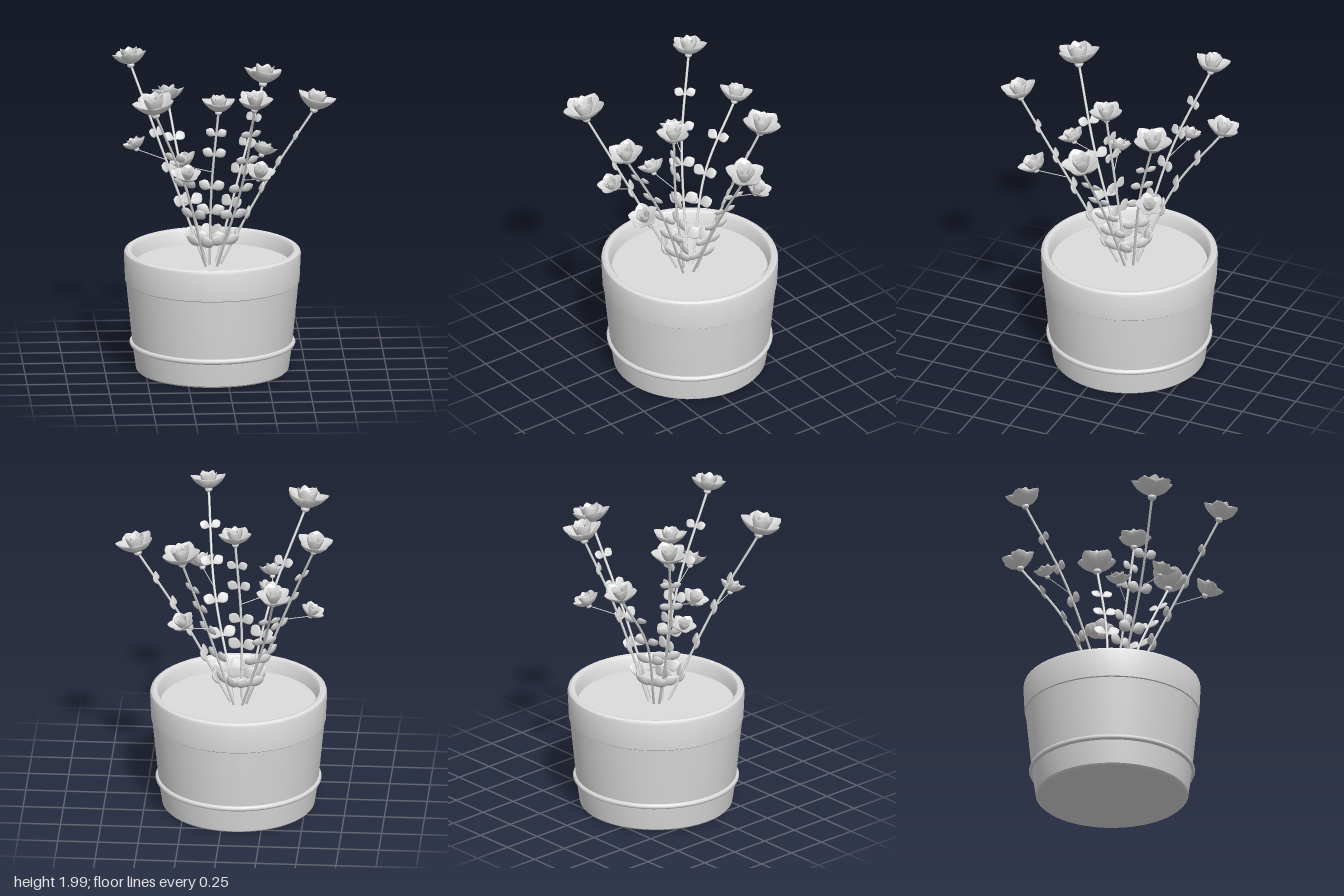
import * as THREE from 'three';
import { toCreasedNormals } from 'three/addons/utils/BufferGeometryUtils.js';

const grey = new THREE.MeshStandardMaterial({ color: 0xdcdcdc });
grey.name = 'plain light grey';

const V = (x, y, z) => new THREE.Vector3(x, y, z);
const UP = V(0, 1, 0);
const CX = -0.08, CZ = -0.077, SOIL_Y = 0.68;

function add(parent, name, geometry) {
  const mesh = new THREE.Mesh(geometry, grey);
  mesh.name = name;
  parent.add(mesh);
  return mesh;
}

// Puffy pointed blade of unit length along +x, cupped and curling towards +y
function bladeGeometry(width, thickness, curl, cup) {
  const g = new THREE.SphereGeometry(1, 12, 10);
  g.rotateZ(-Math.PI / 2);
  const p = g.attributes.position;
  for (let i = 0; i < p.count; i++) {
    const u = THREE.MathUtils.clamp((p.getX(i) + 1) / 2, 0, 1);
    const r = Math.sqrt(Math.max(1e-6, 1 - (2 * u - 1) ** 2));
    const w = Math.pow(Math.max(0, Math.sin(Math.PI * Math.pow(u, 1.15))), 0.75);
    const side = (p.getZ(i) / r) * w;
    p.setXYZ(i, u, (p.getY(i) / r) * w * thickness + curl * u * u + cup * side * side, side * width);
  }
  g.computeVertexNormals();
  return g;
}

const outerPetal = bladeGeometry(0.43, 0.07, 0.24, 0.2);
const innerPetal = bladeGeometry(0.34, 0.06, 0.08, 0.16);
const leafBlade = bladeGeometry(0.42, 0.13, 0.08, 0.08);
const knob = new THREE.SphereGeometry(1, 10, 8);
const filament = new THREE.CylinderGeometry(0.02, 0.02, 1, 5).translate(0, 0.5, 0);

// Ring of blades about the y axis
function petalRing(parent, name, geometry, count, length, lift, start, turn) {
  for (let i = 0; i < count; i++) {
    const spoke = new THREE.Group();
    spoke.rotation.y = turn + (i / count) * Math.PI * 2;
    const petal = add(spoke, name, geometry);
    petal.scale.setScalar(length);
    petal.position.set(start, 0.05, 0);
    petal.rotation.z = lift;
    parent.add(spoke);
  }
}

function flower(position, axis, radius, turn) {
  const g = new THREE.Group();
  g.name = 'flower';
  const base = add(g, 'flowerBase', knob);
  base.scale.set(0.2, 0.16, 0.2);
  petalRing(g, 'outerPetal', outerPetal, 5, 1.08, 0.42, 0.08, turn);
  petalRing(g, 'innerPetal', innerPetal, 5, 0.95, 1.12, 0.12, turn + 0.63);
  petalRing(g, 'centrePetal', innerPetal, 3, 0.8, 1.35, 0.08, turn + 0.2);
  for (let i = 0; i < 5; i++) {
    const s = add(g, 'stamen', filament);
    s.scale.y = 0.8;
    s.rotation.set(0.35 * Math.sin(i * 1.257), 0, 0.35 * Math.cos(i * 1.257));
  }
  g.position.copy(position);
  g.quaternion.setFromUnitVectors(UP, axis);
  g.scale.setScalar(radius);
  return g;
}

// Opposite leaves spread to both sides of the stem
function leafPair(parent, point, tangent, across, size) {
  for (const s of [-1, 1]) {
    const x = across.clone().multiplyScalar(s).addScaledVector(tangent, 0.55).normalize();
    const z = tangent.clone().addScaledVector(x, -tangent.dot(x)).normalize();
    const y = z.clone().cross(x);
    if (y.y < 0) { y.negate(); z.negate(); }
    const leaf = add(parent, 'leaf', leafBlade);
    leaf.quaternion.setFromRotationMatrix(new THREE.Matrix4().makeBasis(x, y, z));
    leaf.position.copy(point).addScaledVector(x, 0.006);
    leaf.scale.setScalar(size);
  }
}

// Stems: a start, m middle, e flower base, r flower radius, leaves at heights,
// optional side bloom [x, y, z, radius] and leaf direction
const STEMS = [
  { a: [-0.1, -0.11], m: [-0.255, 1.2, -0.315], e: [-0.33, 1.59, -0.59], r: 0.112, leaves: [0.83, 1.02, 1.18, 1.38] },
  { a: [-0.12, -0.09], m: [-0.385, 1.38, -0.23], e: [-0.57, 1.875, -0.41], r: 0.118, leaves: [0.83, 1.04, 1.25, 1.45, 1.65], side: [-0.54, 1.37, -0.27, 0.082] },
  { a: [-0.06, -0.11], m: [0.12, 1.3, -0.24], e: [0.25, 1.75, -0.38], r: 0.13, leaves: [0.83, 1.02, 1.22, 1.38, 1.53], side: [0.24, 1.3, -0.35, 0.092] },
  { a: [-0.04, -0.07], m: [0.25, 1.2, -0.06], e: [0.55, 1.67, -0.045], r: 0.13, leaves: [0.83, 0.98, 1.14, 1.31, 1.48] },
  { a: [-0.06, -0.02], m: [0.09, 1.28, 0.25], e: [0.15, 1.84, 0.56], r: 0.118, leaves: [0.83, 1.02, 1.22, 1.43, 1.62], side: [0.18, 1.36, 0.44, 0.1] },
  { a: [-0.12, -0.02], m: [-0.27, 1.28, 0.24], e: [-0.46, 1.78, 0.44], r: 0.142, leaves: [0.83, 1.03, 1.25, 1.45], side: [-0.26, 1.34, 0.38, 0.088] },
  { a: [-0.1, -0.05], m: [-0.09, 1.2, 0.02], e: [-0.05, 1.69, 0.065], r: 0.112, leaves: [0.83, 1.02, 1.18, 1.4, 1.53], side: [-0.25, 1.35, 0.075, 0.09], across: [1, 0, 0.2] },
];

function buildStem(def, index) {
  const g = new THREE.Group();
  g.name = 'floweringStem';
  const start = V(def.a[0], SOIL_Y - 0.02, def.a[1]), end = V(...def.e);
  const curve = new THREE.CatmullRomCurve3([start, V(...def.m), end]);
  add(g, 'stem', new THREE.TubeGeometry(curve, 20, 0.008, 7));

  // Leaves spread at right angles to the lean
  const across = def.across ? V(...def.across) : V(start.z - end.z, 0, end.x - start.x);
  across.normalize();
  const tAt = (y) => {
    let t = 0;
    while (t < 1 && curve.getPointAt(t).y < y) t += 0.01;
    return Math.min(t, 1);
  };
  def.leaves.forEach((y, k) => {
    const t = tAt(y);
    leafPair(g, curve.getPointAt(t), curve.getTangentAt(t), across, 0.1 - k * 0.008);
  });

  const axis = curve.getTangentAt(1).lerp(UP, 0.6).normalize();
  g.add(flower(end, axis, def.r, index * 0.9));

  // Small side bloom on a fine stalk
  if (def.side) {
    const [x, y, z, r] = def.side;
    const tip = V(x, y, z), root = curve.getPointAt(tAt(y - 0.06));
    const out = tip.clone().sub(root).normalize().lerp(UP, 0.65).normalize();
    add(g, 'sideStalk', new THREE.TubeGeometry(new THREE.LineCurve3(root, tip), 1, 0.003, 5));
    g.add(flower(tip, out, r, index * 1.3));
  }
  return g;
}

function buildPot() {
  const g = new THREE.Group();
  g.name = 'pot';
  const profile = [
    [0, 0.005], [0.465, 0.005], [0.475, 0.015], [0.497, 0.17], [0.537, 0.575], [0.543, 0.58],
    [0.551, 0.75], [0.546, 0.767], [0.53, 0.777], [0.508, 0.773], [0.495, 0.757], [0.482, 0.64], [0, 0.64],
  ].map(([r, y]) => new THREE.Vector2(r, y));
  add(g, 'potBody', toCreasedNormals(new THREE.LatheGeometry(profile, 48), 0.6));
  const band = add(g, 'lowerBand', new THREE.TorusGeometry(0.5, 0.017, 8, 48));
  band.rotation.x = Math.PI / 2;
  band.position.y = 0.18;
  const soil = add(g, 'soil', new THREE.CylinderGeometry(0.488, 0.485, 0.04, 48));
  soil.position.y = SOIL_Y - 0.02;
  g.position.set(CX, 0, CZ);
  return g;
}

export function createModel() {
  const model = new THREE.Group();
  model.name = 'pottedFlowers';
  model.add(buildPot());
  STEMS.forEach((def, i) => model.add(buildStem(def, i)));
  return model;
}
